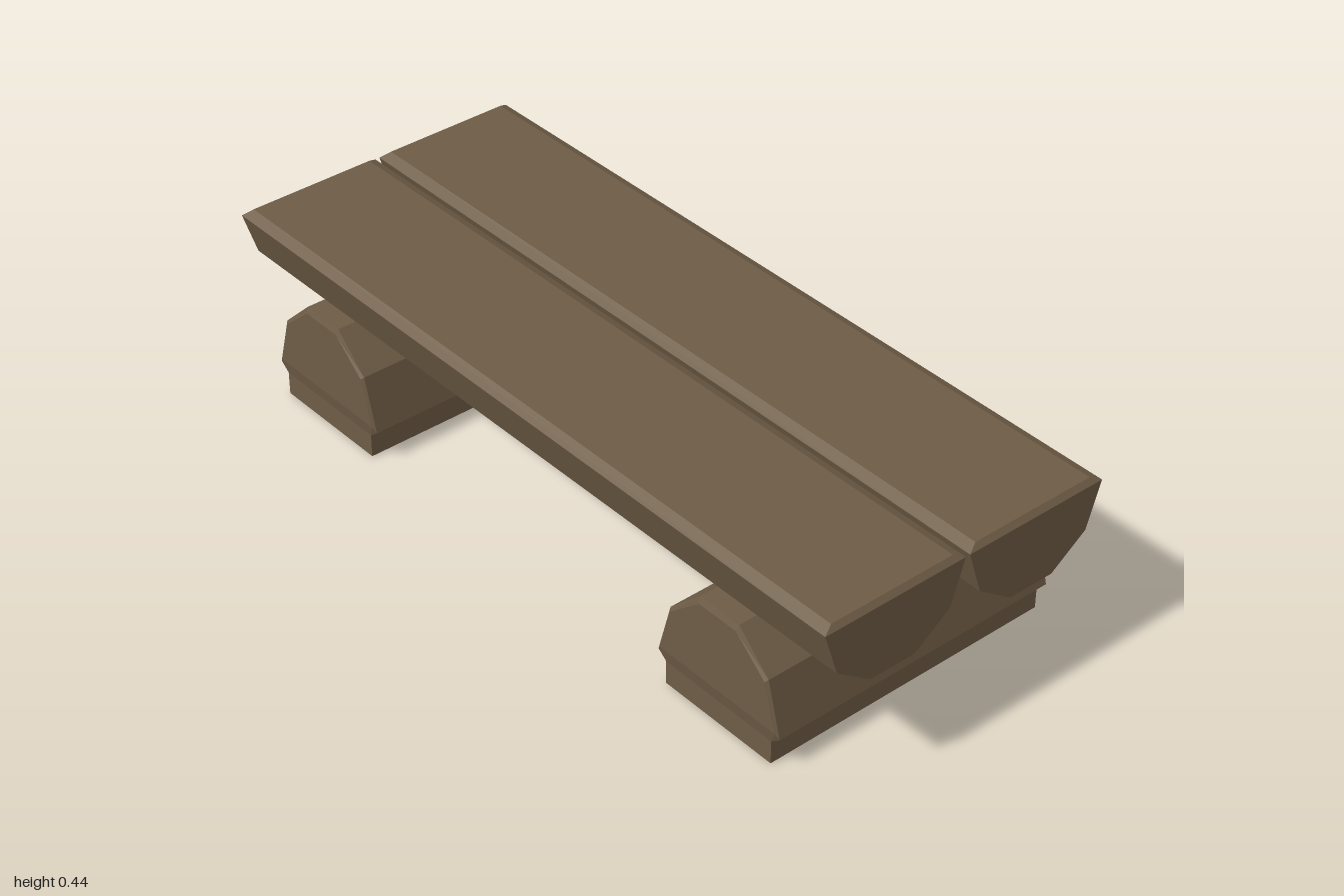
import * as THREE from 'three';

// Half-profile points [u, y, w] run upward on the +u side; mirror them into a closed loop.
const ring = (half, s) => {
  const right = half.map(([u, y, w]) => [u, y, w * s]);
  const left = half.map(([u, y, w]) => [-u, y, w * s]).reverse();
  return [...right, ...left];
};

// Loft a faceted log along w. halves lists the front end's rings, outermost first;
// the back end is mirrored. fan is the loop corner from which the ends are filled.
function log(halves, fan) {
  const rings = [
    ...halves.map((h) => ring(h, -1)),
    ...[...halves].reverse().map((h) => ring(h, 1)),
  ];
  const n = rings[0].length;
  const last = rings.length - 1;
  const pos = [];
  const tri = (a, b, c) => pos.push(...a, ...b, ...c);
  for (let r = 0; r < last; r++) {
    const a = rings[r], b = rings[r + 1];
    for (let i = 0; i < n; i++) {
      const j = (i + 1) % n;
      tri(a[i], a[j], b[j]);
      tri(a[i], b[j], b[i]);
    }
  }
  for (let k = 1; k < n - 1; k++) {
    const i = (fan + k) % n, j = (fan + k + 1) % n;
    tri(rings[last][fan], rings[last][i], rings[last][j]);
    tri(rings[0][fan], rings[0][j], rings[0][i]);
  }
  const g = new THREE.BufferGeometry();
  g.setAttribute('position', new THREE.Float32BufferAttribute(pos, 3));
  g.computeVertexNormals();
  return g;
}

export function createModel() {
  const model = new THREE.Group();
  model.name = 'logBench';
  const wood = new THREE.MeshStandardMaterial({ color: 0x6e5c46, flatShading: true });
  wood.name = 'brownWood';

  const add = (name, geometry, parent, x, y, z) => {
    const mesh = new THREE.Mesh(geometry, wood);
    mesh.name = name;
    mesh.position.set(x, y, z);
    parent.add(mesh);
  };

  // Two split-log seat planks with a chamfered top edge, running along x
  const seat = log([[
    [0.061, 0.25, 1], [0.156, 0.318, 1], [0.193, 0.432, 1], [0.167, 0.444, 0.988],
  ]], 2).rotateY(Math.PI / 2);
  add('frontSeatPlank', seat, model, 0, 0, 0.198);
  add('backSeatPlank', seat, model, 0, 0, -0.2);

  // Two log supports running along z, with bevelled ends, each on a narrower foot
  const body = log([
    [[0.165, 0.06, 0.389], [0.18, 0.094, 0.395], [0.146, 0.211, 0.395], [0.057, 0.288, 0.395]],
    [[0.165, 0.06, 0.389], [0.19, 0.08, 0.389], [0.152, 0.217, 0.389], [0.06, 0.303, 0.389]],
  ], 1);
  const foot = new THREE.BoxGeometry(0.33, 0.062, 0.778);
  for (const [name, x] of [['leftSupport', 0.69], ['rightSupport', -0.69]]) {
    const support = new THREE.Group();
    support.name = name;
    support.position.set(x, 0, 0.001);
    add('supportLog', body, support, 0, 0, 0);
    add('supportFoot', foot, support, 0, 0.031, 0);
    model.add(support);
  }
  return model;
}
